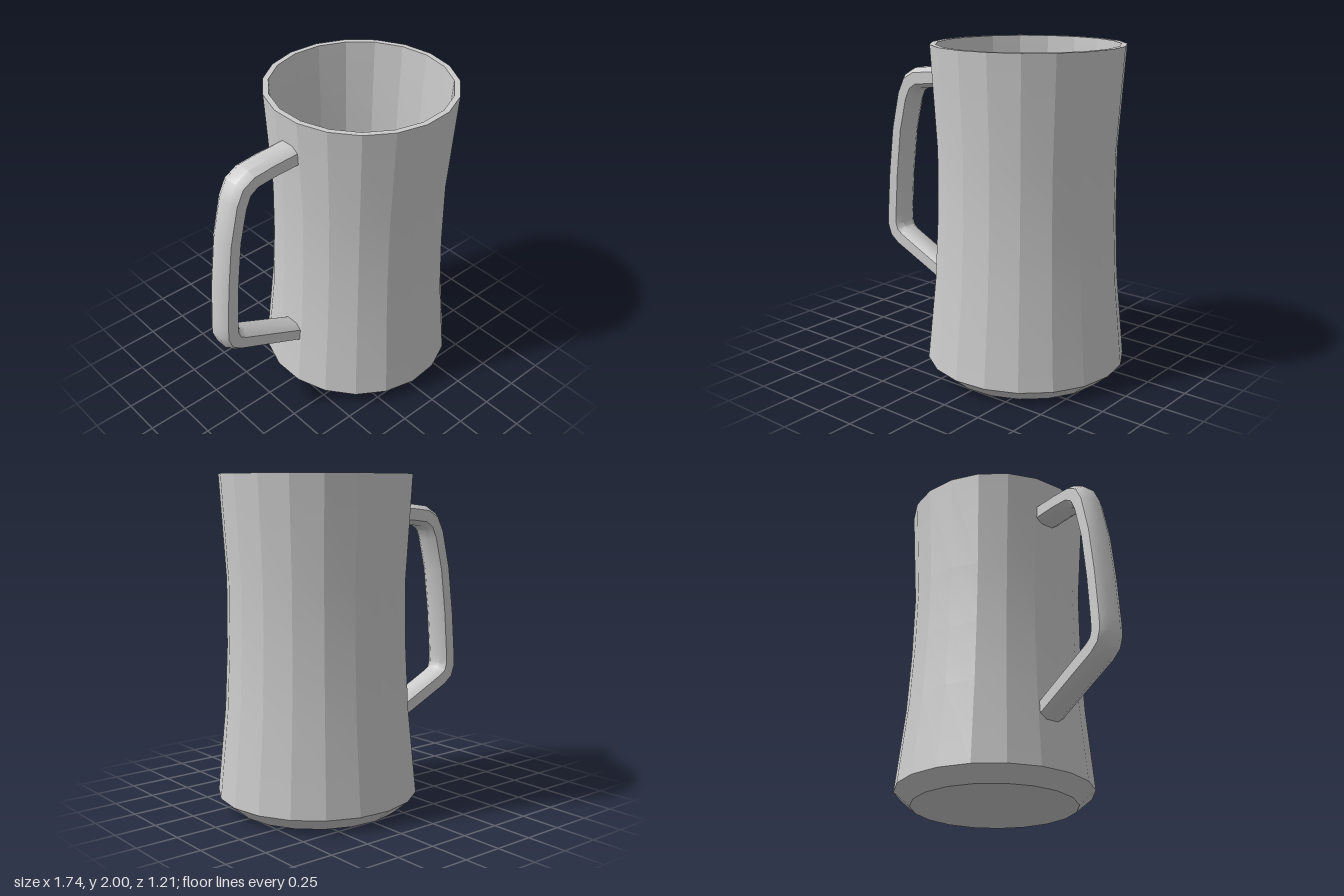
import * as THREE from 'three';
import { toCreasedNormals } from 'three/addons/utils/BufferGeometryUtils.js';

const CUP_X = 0.263;
const CUP_SIDES = 19;

// Closed profile: up the outside, over the rim, down the inside to the floor
function cupGeometry() {
  const profile = [
    [0, 0], [0.507, 0], [0.607, 0.085],                           // base and bevel
    [0.556, 0.6], [0.538, 0.98], [0.534, 1.38], [0.572, 2],       // outer wall
    [0.538, 2], [0.503, 1.38], [0.507, 0.98], [0.525, 0.6],       // rim and inner wall
    [0.55, 0.27], [0.37, 0.12], [0, 0.12],                        // inner bevel and floor
  ].map(([r, y]) => new THREE.Vector2(r, y));
  const geometry = new THREE.LatheGeometry(profile, CUP_SIDES, Math.PI / 2);
  return toCreasedNormals(geometry, THREE.MathUtils.degToRad(15));
}

// Octagonal section swept between matching outer and inner outline points
function handleGeometry() {
  const stations = [ // outer x, outer y, inner x, inner y
    [-0.265, 1.827, -0.265, 1.692],
    [-0.45, 1.817, -0.45, 1.685],
    [-0.6, 1.8, -0.56, 1.672],
    [-0.69, 1.75, -0.6, 1.645],
    [-0.742, 1.65, -0.63, 1.58],
    [-0.802, 1.4, -0.681, 1.38],
    [-0.842, 1.1, -0.717, 1.09],
    [-0.866, 0.82, -0.738, 0.81],
    [-0.869, 0.73, -0.737, 0.755],
    [-0.84, 0.65, -0.727, 0.728],
    [-0.775, 0.597, -0.695, 0.708],
    [-0.285, 0.372, -0.285, 0.511],
  ];
  const section = [ // across the thickness, across the width
    [1, -0.5], [1, 0.5], [0.55, 1], [-0.55, 1],
    [-1, 0.5], [-1, -0.5], [-0.55, -1], [0.55, -1],
  ];
  const halfWidth = 0.083;
  const n = section.length;
  const positions = [];
  const index = [];
  stations.forEach(([ox, oy, ix, iy], i) => {
    for (const [u, w] of section) {
      positions.push(
        (ox + ix) / 2 + (u * (ox - ix)) / 2,
        (oy + iy) / 2 + (u * (oy - iy)) / 2,
        w * halfWidth,
      );
    }
    if (i === stations.length - 1) return;
    for (let j = 0; j < n; j++) {
      const a = i * n + j;
      const c = i * n + ((j + 1) % n);
      index.push(a, a + n, c, a + n, c + n, c);
    }
  });
  const geometry = new THREE.BufferGeometry();
  geometry.setAttribute('position', new THREE.Float32BufferAttribute(positions, 3));
  geometry.setIndex(index);
  return toCreasedNormals(geometry, THREE.MathUtils.degToRad(38));
}

export function createModel() {
  const group = new THREE.Group();
  group.name = 'mug';
  const material = new THREE.MeshStandardMaterial({ color: 0xcccccc });

  const cup = new THREE.Mesh(cupGeometry(), material);
  cup.name = 'cup';
  cup.position.x = CUP_X;

  // The handle ends are buried in the cup wall
  const handle = new THREE.Mesh(handleGeometry(), material);
  handle.name = 'handle';

  group.add(cup, handle);
  return group;
}
